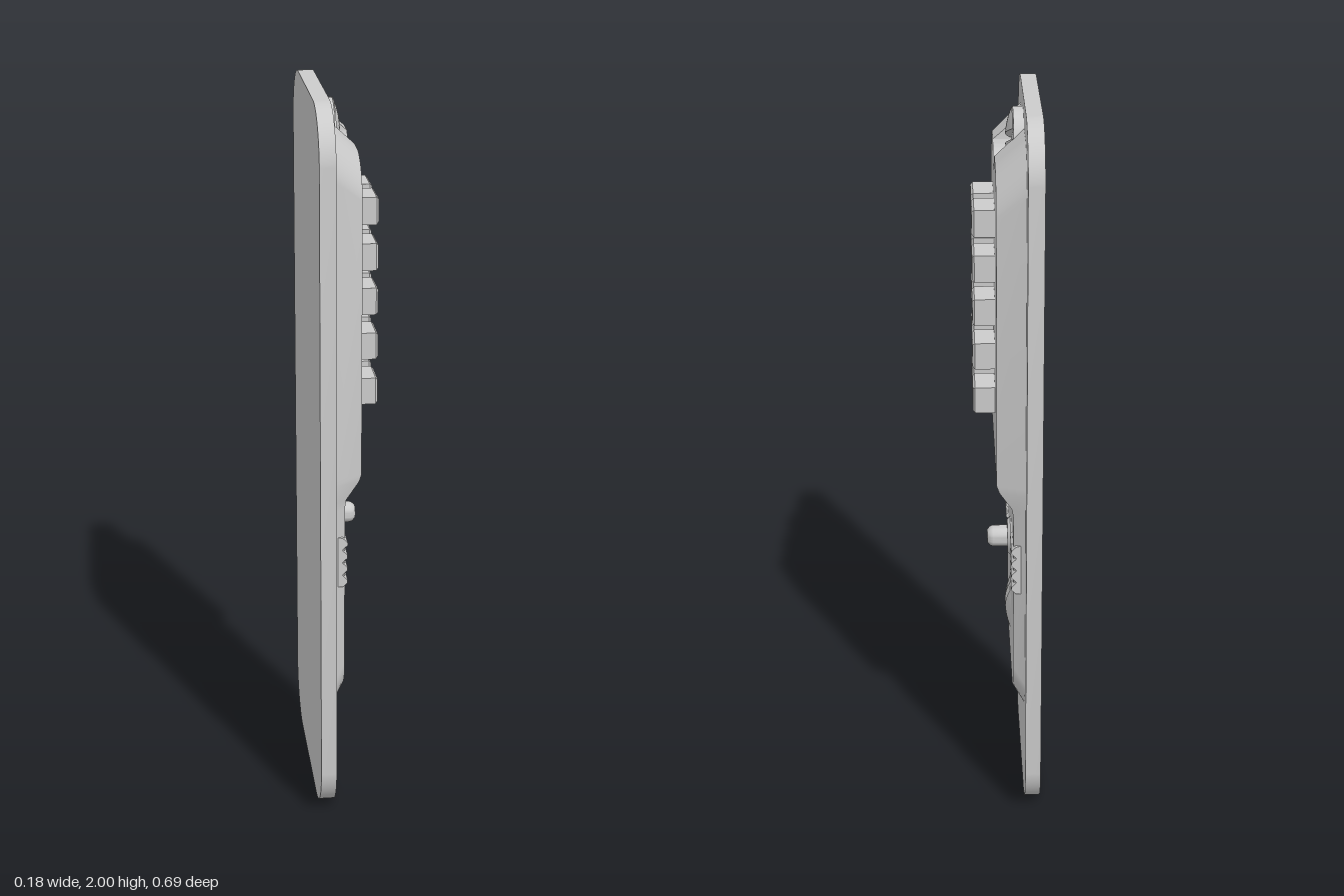
import * as THREE from 'three';
import { toCreasedNormals } from 'three/addons/utils/BufferGeometryUtils.js';

// Parts are laid out in a local frame (x across, y up, z outward), then the lock is turned to face +x.
const BACK = -0.09, PLATE = -0.047, LOW = -0.015, HIGH = 0.03;
const SCREW_Y = 1.885, SCREW_R = 0.082;

const material = new THREE.MeshStandardMaterial({ color: 0xcccccc, side: THREE.DoubleSide });

function part(name, geometry, x = 0, y = 0, z = 0) {
  const mesh = new THREE.Mesh(geometry, material);
  mesh.name = name;
  mesh.position.set(x, y, z);
  return mesh;
}

function fromQuads(quads, crease) {
  const pos = [];
  for (const [a, b, c, d] of quads) pos.push(...a, ...b, ...c, ...a, ...c, ...d);
  const g = new THREE.BufferGeometry();
  g.setAttribute('position', new THREE.Float32BufferAttribute(pos, 3));
  return toCreasedNormals(g, crease);
}

function roundedRect(w, h, r) {
  const s = new THREE.Shape(), x = w / 2, y = h / 2;
  s.absarc(x - r, y - r, r, 0, Math.PI / 2);
  s.absarc(-x + r, y - r, r, Math.PI / 2, Math.PI);
  s.absarc(-x + r, -y + r, r, Math.PI, Math.PI * 1.5);
  s.absarc(x - r, -y + r, r, Math.PI * 1.5, Math.PI * 2);
  s.closePath();
  return s;
}

// Raised housing: rows of face and foot points, stepped in depth, with a round notch at the top
function housingGeometry() {
  const face = { w: 0.258, y0: 0.34, y1: 1.86 }, foot = { w: 0.285, y0: 0.295, y1: 1.93 };
  const notch = (y) => Math.sqrt(Math.max(0, SCREW_R ** 2 - (y - SCREW_Y) ** 2));
  const rows = [];
  const arc = (o, r, t, top) => [
    o.w - r + r * Math.cos(t),
    top ? o.y1 - r + r * Math.sin(t) : o.y0 + r + r * Math.sin(t),
  ];
  const addArc = (top, r, z, from, n) => {
    for (let i = 0; i <= n; i++) {
      const t = from + (i / n) * Math.PI / 2;
      rows.push({ f: arc(face, r, t, top), b: arc(foot, r, t, top), z });
    }
  };
  addArc(false, 0.1, LOW, -Math.PI / 2, 8);
  for (const [y, z] of [[0.905, LOW], [0.93, -0.011], [0.98, 0.023], [1.0, HIGH]])
    rows.push({ f: [face.w, y], b: [foot.w, y], z });
  addArc(true, 0.12, HIGH, 0, 20);

  const quads = [];
  for (const s of [1, -1]) {
    const add = (...q) => quads.push(s > 0 ? q : q.reverse());
    const F = (r) => [s * r.f[0], r.f[1], r.z];
    const B = (r) => [s * r.b[0], r.b[1], PLATE];
    const I = (r, z = r.z) => [s * notch(r.f[1]), r.f[1], z];
    for (let i = 0; i + 1 < rows.length; i++) {
      const a = rows[i], b = rows[i + 1];
      add(I(a), F(a), F(b), I(b));
      add(F(a), B(a), B(b), F(b));
      if (notch(b.f[1]) > 0) add(I(a, PLATE), I(a), I(b), I(b, PLATE));
    }
    // bottom and top slopes, and the notch wall under the top slope
    const first = rows[0], last = rows[rows.length - 1];
    add([0, foot.y0, PLATE], B(first), F(first), I(first));
    const tip = [s * notch(foot.y1), foot.y1, PLATE];
    add(I(last), F(last), B(last), tip);
    add(I(last, PLATE), I(last), tip, tip);
  }
  return fromQuads(quads, 0.5);
}

// Domed screw head made of two halves either side of a slot
function screw(name, y, angle) {
  const group = new THREE.Group();
  group.name = name;
  const R = SCREW_R, a = 0.013, rim = -0.018, floor = -0.02, N = 10, M = 12;
  const dome = (u, v) => rim + 0.018 * (1 - (u * u + v * v) / (R * R));
  const grid = [];
  for (let i = -1; i <= N; i++) {
    const u = R * Math.cos(Math.acos(a / R) * (1 - Math.max(i, 0) / N));
    const half = Math.sqrt(Math.max(0, R * R - u * u));
    const row = [];
    for (let j = 0; j <= M; j++) {
      const v = half * (2 * j / M - 1);
      row.push([u, v, i < 0 ? floor : dome(u, v)]);
    }
    grid.push(row);
  }
  const quads = [];
  for (let i = 0; i <= N; i++)
    for (let j = 0; j < M; j++)
      quads.push([grid[i][j], grid[i + 1][j], grid[i + 1][j + 1], grid[i][j + 1]]);
  const half = fromQuads(quads, 0.6);
  for (const turn of [0, Math.PI]) {
    const m = part('screwHalf', half);
    m.rotation.z = turn;
    group.add(m);
  }
  const body = new THREE.CylinderGeometry(R, R, 0.045, 32).rotateX(Math.PI / 2);
  group.add(part('screwBody', body, 0, 0, floor - 0.0225));
  group.position.y = y;
  group.rotation.z = angle;
  return group;
}

// Sawtooth finger grip, extruded across the side of the housing
function gripGeometry() {
  const s = new THREE.Shape();
  const teeth = 4, pitch = 0.037;
  s.moveTo(0.04, 0);
  for (let i = 0; i < teeth; i++) {
    s.lineTo(0.022, i * pitch);
    s.lineTo(0.009, i * pitch + 0.012);
    s.lineTo(0.009, i * pitch + 0.02);
    s.lineTo(0.022, (i + 1) * pitch - 0.004);
  }
  s.lineTo(0.04, teeth * pitch);
  s.closePath();
  const g = new THREE.ExtrudeGeometry(s, { depth: 0.106, bevelEnabled: false });
  return g.rotateY(Math.PI / 2).translate(-0.053, 0, 0);
}

export function createModel() {
  const lock = new THREE.Group();
  lock.name = 'keypadLock';

  // Back plate
  const plate = new THREE.ExtrudeGeometry(roundedRect(0.692, 2, 0.15),
    { depth: PLATE - BACK, bevelEnabled: false, curveSegments: 12 });
  lock.add(part('backPlate', toCreasedNormals(plate, 0.5), 0, 1, BACK));
  lock.add(part('housing', housingGeometry()));

  // Two columns of five push buttons
  const b = 0.006, key = new THREE.Shape();
  key.moveTo(-0.045, -0.031).lineTo(0.045, -0.031).lineTo(0.045, 0.031).lineTo(-0.045, 0.031).closePath();
  const button = new THREE.ExtrudeGeometry(key,
    { depth: 0.06, bevelThickness: b, bevelSize: b, bevelSegments: 1 });
  for (const y of [1.69, 1.565, 1.443, 1.318, 1.19])
    for (const x of [-0.077, 0.066]) lock.add(part('button', button, x, y, 0.09 - 0.06 - b));

  // Screws
  lock.add(screw('topScrew', SCREW_Y, Math.PI / 2 + 0.42));
  lock.add(screw('lowerScrew', 0.503, -0.4));

  // Round pin with collar
  const profile = [[0.054, -0.04], [0.054, -0.012], [0.046, -0.004], [0.03, -0.004],
    [0.03, 0.036], [0.027, 0.044], [0.018, 0.052], [0, 0.053]].map(([r, h]) => new THREE.Vector2(r, h));
  const pin = new THREE.LatheGeometry(profile, 24).rotateX(Math.PI / 2);
  lock.add(part('pin', toCreasedNormals(pin, 0.6), 0.07, 0.755, 0));

  // Finger grips
  const grip = gripGeometry();
  for (const s of [1, -1]) lock.add(part('fingerGrip', grip, s * 0.222, 0.68, 0));

  lock.rotation.y = Math.PI / 2;
  const model = new THREE.Group();
  model.add(lock);
  return model;
}
